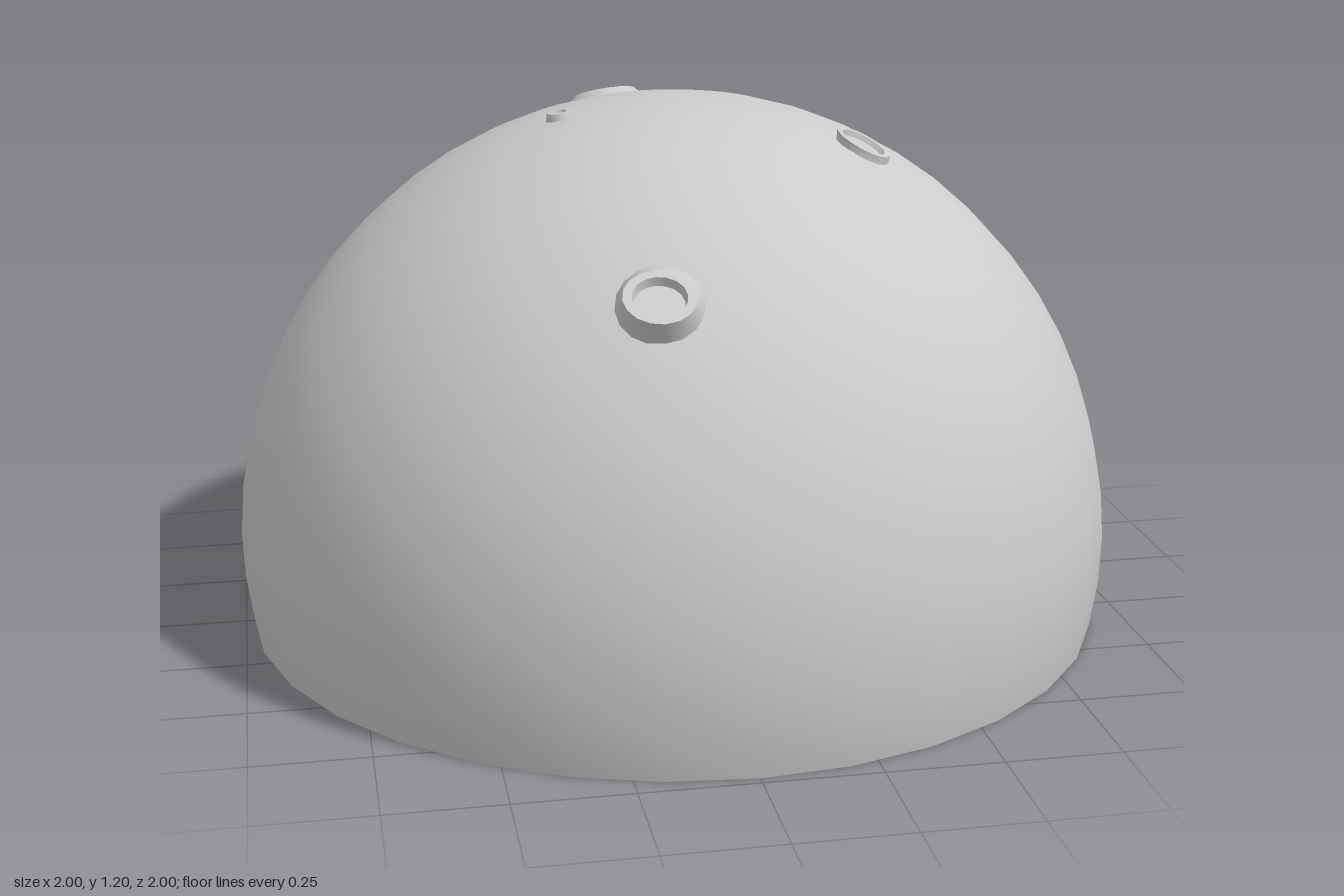
import * as THREE from 'three';
import { toCreasedNormals } from 'three/addons/utils/BufferGeometryUtils.js';

const CENTER_Y = 0.195; // height of the dome's sphere centre
const SIDES = 16;

// Circle of points around a centre, counter-clockwise about its axis
function ring(center, axis, radius) {
  const n = axis.clone().normalize();
  const u = new THREE.Vector3(1, 0, 0).addScaledVector(n, -n.x).normalize();
  const v = new THREE.Vector3().crossVectors(n, u);
  return Array.from({ length: SIDES }, (_, i) => {
    const a = (i / SIDES) * Math.PI * 2;
    return center.clone()
      .addScaledVector(u, Math.cos(a) * radius)
      .addScaledVector(v, Math.sin(a) * radius);
  });
}

// Surface through successive rings
function loft(rings) {
  const index = [];
  for (let i = 0; i < rings.length - 1; i++) {
    for (let j = 0; j < SIDES; j++) {
      const k = (j + 1) % SIDES;
      const a = i * SIDES + j, b = i * SIDES + k;
      index.push(a, b, a + SIDES, b, b + SIDES, a + SIDES);
    }
  }
  const geometry = new THREE.BufferGeometry().setFromPoints(rings.flat());
  geometry.setIndex(index);
  return toCreasedNormals(geometry, 0.6);
}

// Crater: a foot following the dome, a tilted rim and a shallow floor
function crater({ foot, footRadius, rim, axis, outer, inner, depth }) {
  const p = new THREE.Vector3(...foot).normalize();
  const c = new THREE.Vector3(...rim);
  const n = new THREE.Vector3(...axis).normalize();
  const floor = c.clone().addScaledVector(n, -depth);
  const onDome = (r, level) => ring(p, p, r).map((q) => q.setLength(level));
  return loft([
    onDome(footRadius * 1.1, 0.983),
    onDome(footRadius, 1.0),
    ring(c, n, outer),
    ring(c, n, inner),
    ring(floor, n, inner * 0.92),
    ring(floor, n, 0),
  ]);
}

export function createModel() {
  const model = new THREE.Group();
  const material = new THREE.MeshStandardMaterial({ color: 0xcccccc });

  function add(name, geometry, y) {
    const mesh = new THREE.Mesh(geometry, material);
    mesh.name = name;
    mesh.position.y = y;
    model.add(mesh);
    return mesh;
  }

  // Dome reaching one ring below its equator
  add('dome', new THREE.SphereGeometry(1, 32, 16, 0, Math.PI * 2, 0, Math.PI * 9 / 16), CENTER_Y);

  // Flat underside
  add('base', new THREE.CircleGeometry(Math.cos(Math.PI / 16), 32).rotateX(Math.PI / 2), 0);

  // Craters, positioned relative to the sphere centre
  const craters = {
    frontCrater: {
      foot: [-0.15, 0.71, 0.69], footRadius: 0.09,
      rim: [-0.155, 0.73, 0.72], axis: [-0.05, 0.86, 0.5],
      outer: 0.075, inner: 0.056, depth: 0.02,
    },
    leftCrater: {
      foot: [0.395, 0.9, 0.18], footRadius: 0.064,
      rim: [0.397, 0.915, 0.18], axis: [0.42, 0.89, 0.18],
      outer: 0.066, inner: 0.053, depth: 0.012,
    },
    backCrater: {
      foot: [-0.1, 0.93, -0.35], footRadius: 0.095,
      rim: [-0.1, 0.95, -0.35], axis: [-0.1, 0.93, -0.32],
      outer: 0.072, inner: 0.056, depth: 0.012,
    },
    smallCrater: {
      foot: [-0.26, 0.965, 0.03], footRadius: 0.03,
      rim: [-0.26, 0.977, 0.03], axis: [-0.14, 0.98, 0.02],
      outer: 0.027, inner: 0.017, depth: 0.006,
    },
  };
  for (const [name, spec] of Object.entries(craters)) add(name, crater(spec), CENTER_Y);

  return model;
}
